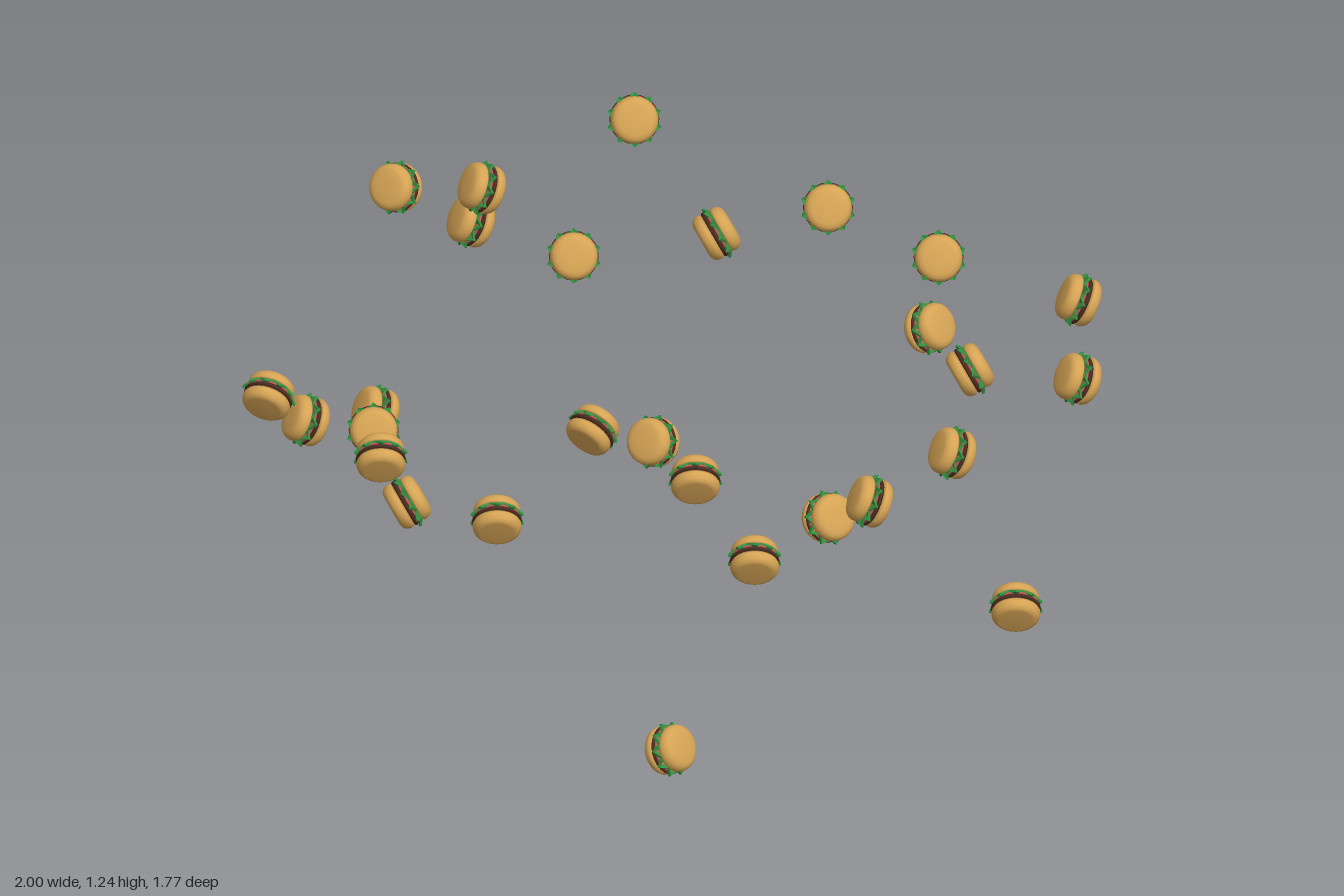
import * as THREE from 'three';

const mat = (color) => new THREE.MeshStandardMaterial({ color });
const bunMat = mat(0xd6a455);
const lettuceMat = mat(0x2f8f3f);
lettuceMat.flatShading = true;
lettuceMat.side = THREE.DoubleSide;
const tomatoMat = mat(0xd0605a);
const pattyMat = mat(0x4a2c20);

// Lathe from [radius, y] points, bottom to top
const lathe = (pts) => new THREE.LatheGeometry(pts.map(([r, y]) => new THREE.Vector2(r, y)), 24);

// Leaf disc with ten drooping points
function lettuceGeometry() {
  const g = new THREE.CylinderGeometry(0.074, 0.074, 0.007, 20, 1);
  const p = g.attributes.position;
  for (let i = 0; i < p.count; i++) {
    const x = p.getX(i), z = p.getZ(i);
    if (Math.hypot(x, z) < 0.01) continue;
    const k = Math.round((Math.atan2(x, z) / Math.PI) * 10);
    const tip = k % 2 === 0;
    const s = tip ? 1.03 : 0.84;
    p.setXYZ(i, x * s, p.getY(i) + (tip ? -0.01 : 0.002), z * s);
  }
  g.computeVertexNormals();
  return g;
}

const layers = [
  ['bottomBun', bunMat, lathe([[0, -0.048], [0.046, -0.048], [0.056, -0.045], [0.063, -0.038],
    [0.067, -0.028], [0.067, -0.02], [0.063, -0.013], [0, -0.013]])],
  ['patty', pattyMat, lathe([[0, -0.013], [0.064, -0.013], [0.068, -0.009], [0.068, -0.005], [0.064, -0.001], [0, -0.001]])],
  ['tomato', tomatoMat, lathe([[0, -0.001], [0.064, -0.001], [0.066, 0.003], [0.064, 0.006], [0, 0.006]])],
  ['lettuce', lettuceMat, lettuceGeometry().translate(0, 0.009, 0)],
  ['topBun', bunMat, lathe([[0, 0.012], [0.061, 0.012], [0.065, 0.017], [0.065, 0.026], [0.062, 0.036],
    [0.055, 0.044], [0.044, 0.048], [0.02, 0.05], [0, 0.05]])],
];

// x, y, z of each burger and the heading its top leans towards, in degrees from +z to +x
const burgers = [
  [-0.01, 0.98, -0.82, 35], [-0.635, 1.065, -0.80, 35], [-0.76, 0.65, -0.69, 35],
  [0.355, 0.94, -0.82, 35], [-0.455, 0.86, 0.72, 35],
  [0.805, 0.125, -0.535, 215], [0.61, 1.05, 0.725, 215], [0.73, 0.785, 0.615, 215],
  [0, 0.76, 0.79, 215], [-0.37, 0.845, 0.81, 215], [-0.76, 0.90, 0.78, 195], [0.255, 1.08, 0.70, 180],
  [0.82, 0.715, -0.81, 320], [0.92, 0.865, -0.06, 320], [-0.79, 1.04, -0.29, 320],
  [-0.70, 0.80, 0.69, 320], [-0.72, 0.65, 0.325, 320], [-0.905, 0.845, -0.405, 320],
  [0.915, 1.055, -0.675, 308], [0.90, 0.88, 0.31, 312],
  [0.815, 0.98, -0.30, 140], [-0.295, 0.865, -0.70, 140], [-0.93, 0.085, -0.135, 140],
  [-0.845, 1.18, 0.045, 0], [-0.505, 0.145, -0.70, 0],
  [0.45, 0.10, 0.61, 90], [0.385, 0.77, -0.735, 90], [0.80, 0.82, 0.36, 70],
];

export function createModel() {
  const model = new THREE.Group();
  model.name = 'floatingBurgers';
  const tilt = THREE.MathUtils.degToRad(64);
  burgers.forEach(([x, y, z, heading], i) => {
    const burger = new THREE.Group();
    burger.name = `burger${i + 1}`;
    for (const [name, material, geometry] of layers) {
      const mesh = new THREE.Mesh(geometry, material);
      mesh.name = name;
      burger.add(mesh);
    }
    burger.position.set(x, y, z);
    burger.rotation.set(tilt, THREE.MathUtils.degToRad(heading), 0, 'YXZ');
    model.add(burger);
  });
  return model;
}
